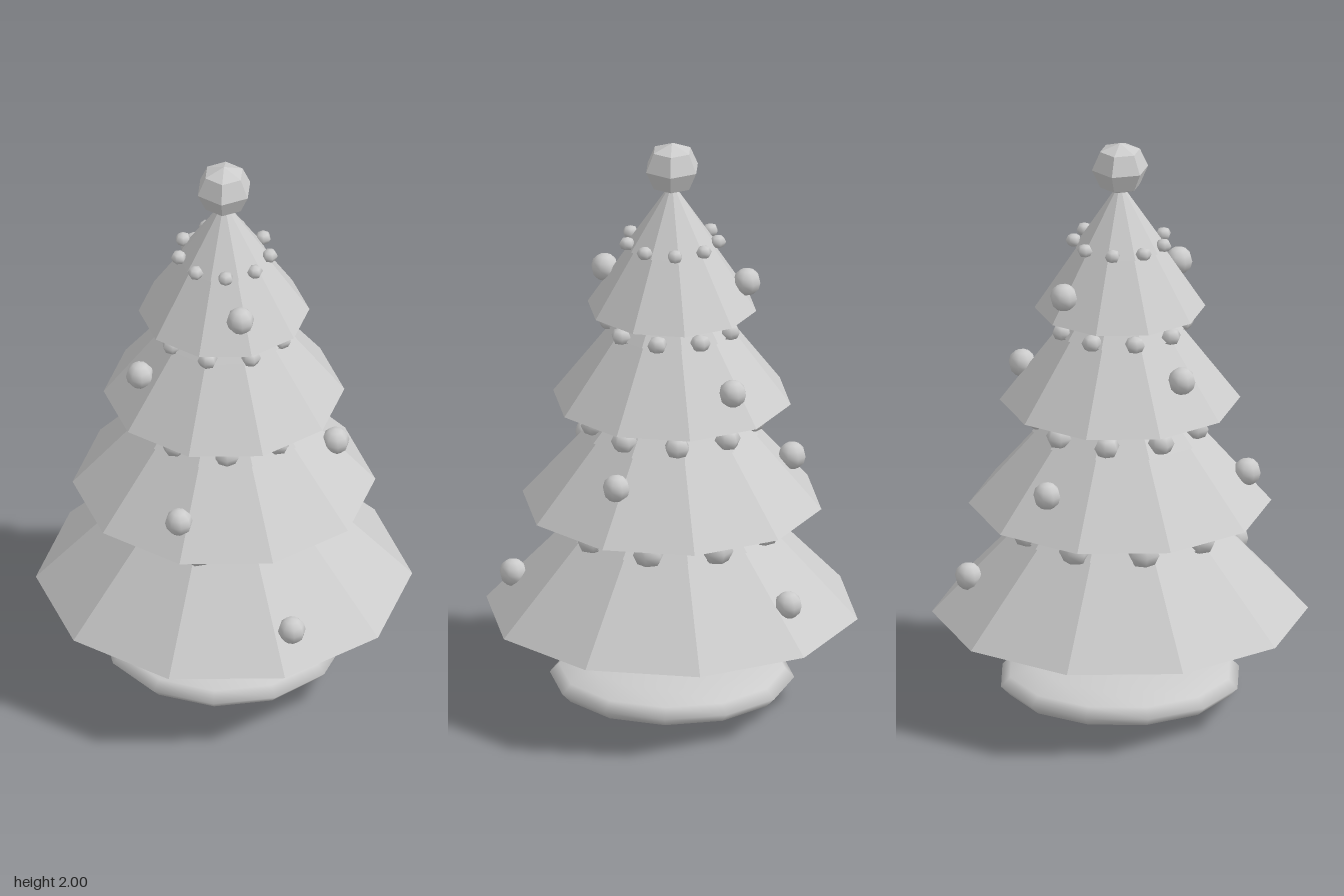
import * as THREE from 'three';

const grey = new THREE.MeshStandardMaterial({ color: 0xcccccc });
grey.name = 'plain grey';

// Faceted normals for the low-poly parts
function faceted(geometry) {
  const g = geometry.toNonIndexed();
  g.computeVertexNormals();
  return g;
}

function add(parent, name, geometry, x = 0, y = 0, z = 0) {
  const mesh = new THREE.Mesh(geometry, grey);
  mesh.name = name;
  mesh.position.set(x, y, z);
  parent.add(mesh);
  return mesh;
}

// Ten-sided cone of branches with a small step under its bead garland
function tierGeometry(t) {
  const stepRadius = t.radius * (t.apex - t.step) / (t.apex - t.bottom);
  const profile = [
    [0, t.bottom], [t.radius, t.bottom], [stepRadius - 0.004, t.step],
    [stepRadius + 0.008, t.step], [0, t.apex],
  ].map(([r, y]) => new THREE.Vector2(r, y));
  return faceted(new THREE.LatheGeometry(profile, 10));
}

export function createModel() {
  const tree = new THREE.Group();
  tree.name = 'decoratedTree';

  // Rounded foot and tapered trunk
  const foot = add(tree, 'foot', new THREE.SphereGeometry(1, 12, 8), 0, 0.083, 0);
  foot.scale.set(0.41, 0.083, 0.41);
  add(tree, 'trunk', new THREE.CylinderGeometry(0.082, 0.097, 0.28, 12), 0, 0.26, 0);

  // Branch tiers, each with a ring of nine beads
  const tiers = [
    { radius: 0.63, bottom: 0.323, step: 0.624, apex: 1.0, beadY: 0.65, ring: 0.335, bead: 0.056, phase: 0 },
    { radius: 0.507, bottom: 0.712, step: 0.968, apex: 1.3, beadY: 1.01, ring: 0.27, bead: 0.045, phase: 0.4 },
    { radius: 0.403, bottom: 1.083, step: 1.338, apex: 1.62, beadY: 1.354, ring: 0.212, bead: 0.035, phase: 0 },
    { radius: 0.286, bottom: 1.413, step: 1.633, apex: 1.86, beadY: 1.652, ring: 0.155, bead: 0.027, phase: 0.4 },
  ];
  tiers.forEach((t) => {
    add(tree, 'branchTier', tierGeometry(t));
    const garland = new THREE.Group();
    garland.name = 'beadGarland';
    const beadGeometry = new THREE.SphereGeometry(t.bead, 6, 4);
    for (let i = 0; i < 9; i++) {
      const a = t.phase + i * Math.PI * 2 / 9;
      const bead = add(garland, 'bead', beadGeometry, Math.cos(a) * t.ring, t.beadY, Math.sin(a) * t.ring);
      bead.scale.y = 0.86;
      bead.rotation.y = -a;
    }
    tree.add(garland);
  });

  // Hanging baubles
  const baubleGeometry = new THREE.SphereGeometry(0.047, 8, 6);
  [
    [-0.264, 0.44, 0.463], [0.47, 0.466, -0.2],
    [-0.413, 0.825, 0.105], [0.206, 0.884, 0.312], [0.144, 0.857, -0.378],
    [0.322, 1.2, -0.066], [-0.263, 1.233, -0.16],
    [-0.154, 1.53, 0.175], [0.134, 1.51, -0.214],
  ].forEach(([x, y, z]) => add(tree, 'bauble', baubleGeometry, x, y, z));

  // Faceted six-sided ball on the tip
  const topper = add(tree, 'topper', faceted(new THREE.SphereGeometry(0.097, 6, 4)), 0, 1.91, 0);
  topper.scale.y = 0.09 / 0.097;
  topper.rotation.y = Math.PI / 2;

  return tree;
}
